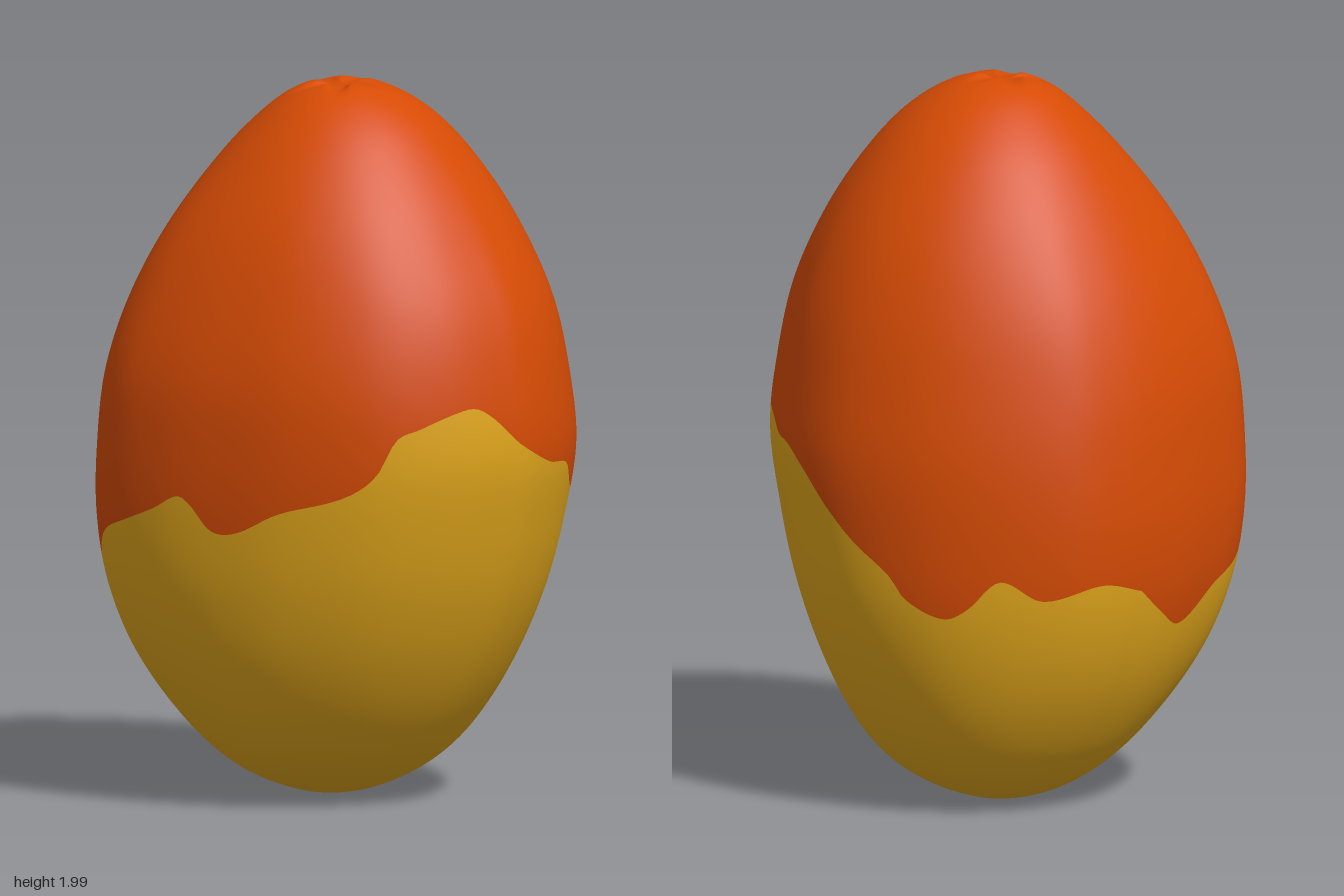
import * as THREE from 'three';
import { mergeVertices } from 'three/addons/utils/BufferGeometryUtils.js';

// Extents of the fruit by height: y, left x, right x, back z, front z
const PROFILE = [
  [0, -0.11, -0.11, -0.05, -0.05], [0.03, -0.26, 0.05, -0.205, 0.11], [0.1, -0.365, 0.19, -0.325, 0.265],
  [0.2, -0.455, 0.305, -0.415, 0.38], [0.4, -0.57, 0.45, -0.517, 0.505], [0.6, -0.633, 0.547, -0.577, 0.572],
  [0.8, -0.655, 0.61, -0.603, 0.604], [1.0, -0.648, 0.65, -0.61, 0.613], [1.2, -0.622, 0.638, -0.58, 0.602],
  [1.4, -0.565, 0.59, -0.532, 0.553], [1.6, -0.47, 0.488, -0.45, 0.475], [1.8, -0.335, 0.345, -0.315, 0.347],
  [1.9, -0.237, 0.25, -0.215, 0.256], [1.97, -0.135, 0.14, -0.105, 0.16], [2, 0, 0, 0.03, 0.03],
];

// Rounded, slightly lopsided cross-section, counted from +x towards +z
const SECTION = [
  [0.65, 0], [0.633, 0.1], [0.57, 0.265], [0.44, 0.425], [0.22, 0.545], [0, 0.595], [-0.2, 0.607],
  [-0.38, 0.575], [-0.51, 0.48], [-0.603, 0.28], [-0.645, 0.1], [-0.647, -0.07], [-0.61, -0.22],
  [-0.46, -0.41], [-0.27, -0.545], [-0.05, -0.61], [0.16, -0.58], [0.32, -0.495], [0.5, -0.36], [0.605, -0.2],
];

// Height of the colour border by angle in degrees
const BORDER = [
  [-180, 0.65], [-168, 0.68], [-152, 0.645], [-141, 0.7], [-132, 0.62], [-125, 0.59], [-114, 0.64],
  [-110, 0.7], [-99, 0.79], [-91, 0.87], [-83, 0.95], [-73, 1.01], [-62, 1.02], [-51, 1.05], [-40, 1.055],
  [-36, 1.02], [-33, 0.89], [-30, 0.87], [-23, 0.9], [-17, 0.96], [-6, 0.98], [5, 1.04],
  [13, 1.12], [18, 1.15], [24, 1.14], [34, 1.1], [40, 1.07], [45, 0.97], [53, 0.91], [70, 0.86],
  [82, 0.8], [90, 0.8], [97, 0.87], [101, 0.89], [108, 0.85], [117, 0.81], [128, 0.76],
  [137, 0.67], [149, 0.62], [163, 0.53], [172, 0.58], [180, 0.65],
];

// Smooth interpolation through rows of [key, value...]
function sample(rows, key, col) {
  const n = rows.length;
  let i = 0;
  while (i < n - 2 && key > rows[i + 1][0]) i++;
  const slope = (k) => {
    const a = rows[Math.max(k - 1, 0)], b = rows[Math.min(k + 1, n - 1)];
    return (b[col] - a[col]) / (b[0] - a[0]);
  };
  const a = rows[i], b = rows[i + 1], w = b[0] - a[0];
  const t = (key - a[0]) / w, t2 = t * t, t3 = t2 * t;
  return (2 * t3 - 3 * t2 + 1) * a[col] + (t3 - 2 * t2 + t) * w * slope(i)
    + (3 * t2 - 2 * t3) * b[col] + (t3 - t2) * w * slope(i + 1);
}

const polar = (y) => Math.acos(THREE.MathUtils.clamp(1 - y, -1, 1));

export function createModel() {
  const group = new THREE.Group();
  group.name = 'fruit';
  const orange = new THREE.MeshStandardMaterial({ color: 0xd64b04 });
  orange.name = 'ripe orange';
  const yellow = new THREE.MeshStandardMaterial({ color: 0xe2a71c });
  yellow.name = 'golden yellow';

  const COLS = 240, LOWER = 50, UPPER = 90, ROWS = LOWER + UPPER;
  const profile = PROFILE.map(([y, ...rest]) => [polar(y), ...rest]);
  const outline = new THREE.CatmullRomCurve3(
    SECTION.map(([x, z]) => new THREE.Vector3(x / 0.65, 0, z / 0.608)), true, 'centripetal');
  const ring = outline.getSpacedPoints(COLS).slice(0, COLS);

  // Rows run from the base to the border, then from the border to the top
  const positions = [];
  for (let i = 0; i <= ROWS; i++) {
    for (const p of ring) {
      const angle = Math.atan2(p.z * 0.608, p.x * 0.65);
      const border = sample(BORDER, THREE.MathUtils.radToDeg(angle), 1);
      const mid = polar(border);
      const t = i <= LOWER ? mid * i / LOWER : mid + (Math.PI - mid) * (i - LOWER) / UPPER;
      const [xl, xr, zb, zf] = [1, 2, 3, 4].map((c) => sample(profile, t, c));

      // Both ends turn into plain ovals, the lower one leaning to the back right
      const round = THREE.MathUtils.smoothstep(1 - Math.sin(t), -0.08, 0.55);
      const lean = 0.04 * (1 - THREE.MathUtils.smoothstep(t, 0.5, 1.5));
      const k = THREE.MathUtils.lerp(1, 1 / Math.hypot(p.x, p.z), round)
        * (1 - lean * Math.abs(Math.sin(2 * angle)) * Math.cos(angle - Math.PI / 4));
      const x = (xl + xr) / 2 + (xr - xl) / 2 * p.x * k;
      const z = (zb + zf) / 2 + (zf - zb) / 2 * p.z * k;
      let y = 1 - Math.cos(t);

      // Five-pointed dimple at the top
      if (y > 1.9) {
        const dz = z - 0.05;
        const r = Math.hypot(x, dz);
        const star = 0.5 + 0.5 * Math.cos(5 * (Math.atan2(dz, x) + Math.PI / 2));
        y -= 0.018 * Math.exp(-((r / (0.05 + 0.045 * star)) ** 4));
      }
      positions.push(x, y, z);
    }
  }

  const index = [];
  for (let i = 0; i < ROWS; i++) {
    for (let j = 0; j < COLS; j++) {
      const a = i * COLS + j, b = i * COLS + (j + 1) % COLS;
      index.push(a, a + COLS, b, b, a + COLS, b + COLS);
    }
  }
  let skin = new THREE.BufferGeometry();
  skin.setAttribute('position', new THREE.Float32BufferAttribute(positions, 3));
  skin.setIndex(index);
  skin = mergeVertices(skin, 1e-5);
  skin.computeVertexNormals();

  // Both halves share one set of smooth normals across the border
  const faces = Array.from(skin.index.array);
  const split = LOWER * COLS * 6;
  const addHalf = (name, part, material) => {
    const half = new THREE.BufferGeometry();
    half.setAttribute('position', skin.attributes.position.clone());
    half.setAttribute('normal', skin.attributes.normal.clone());
    half.setIndex(part);
    const mesh = new THREE.Mesh(half, material);
    mesh.name = name;
    group.add(mesh);
  };
  addHalf('lowerSkin', faces.slice(0, split), yellow);
  addHalf('upperSkin', faces.slice(split), orange);
  return group;
}
